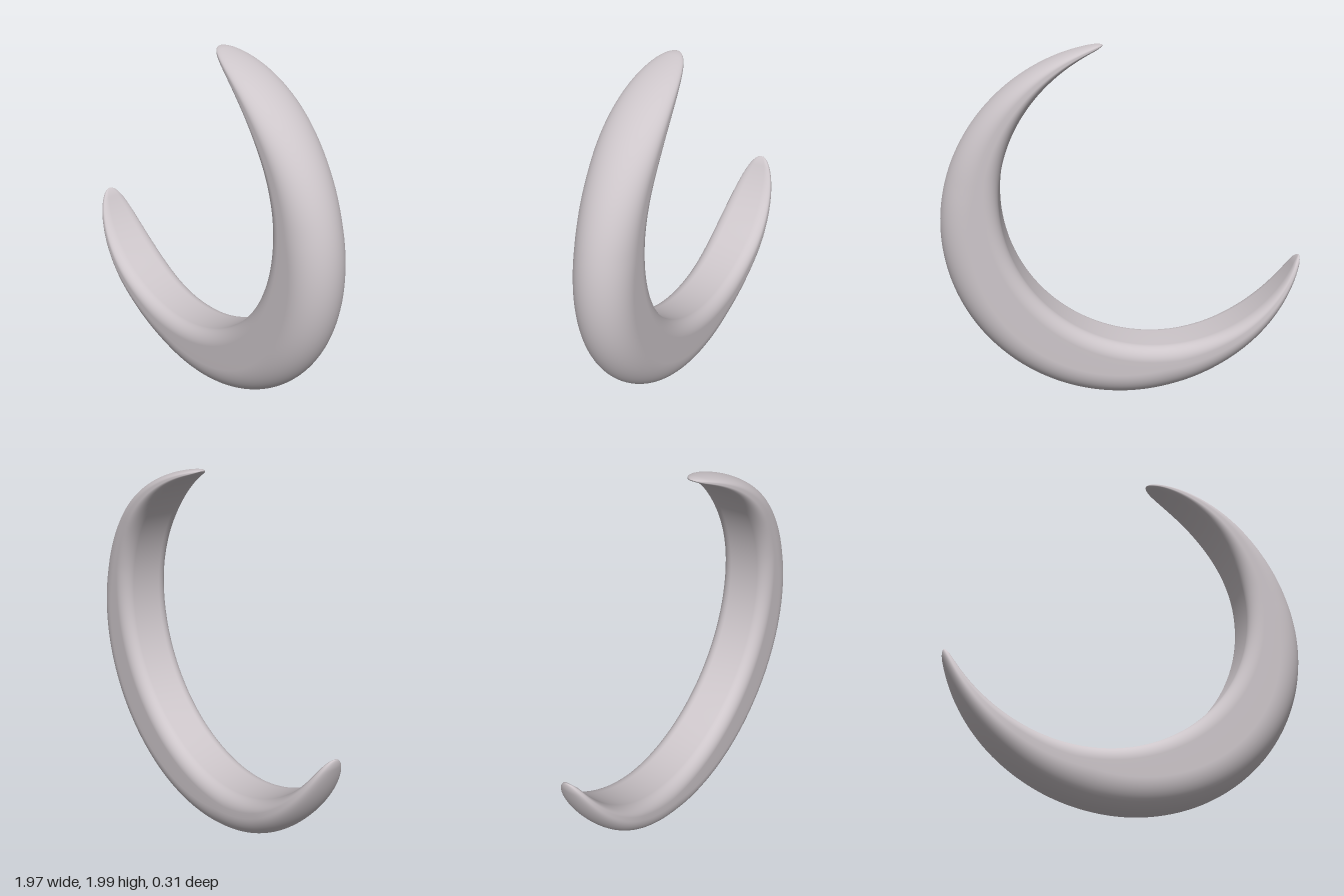
import * as THREE from 'three';

const rad = THREE.MathUtils.degToRad;

// Outer and inner circles that bound the crescent
const OUTER = { x: -0.012, y: 1.0, r: 1.0 };
const INNER = { x: -0.19, y: 1.17, r: 0.857 };
const AXIS = rad(-42.7), HALF = 125.6; // direction of the thickest part, sweep to each tip
const DEPTH = 0.157;

// Distance from the outer centre to the inner circle along an angle
function innerRadius(angle) {
  const dx = INNER.x - OUTER.x, dy = INNER.y - OUTER.y;
  const along = dx * Math.cos(angle) + dy * Math.sin(angle);
  const across = dy * Math.cos(angle) - dx * Math.sin(angle);
  return along + Math.sqrt(INNER.r ** 2 - across ** 2);
}

// Quarter-ellipse growth from 0 at a tip to 1 after the given span
const ease = (s, span) => (s >= span ? 1 : Math.sqrt(Math.max(0, 1 - (1 - s / span) ** 2)));

// Cross-section: round outer side, nearly flat inner wall with soft corners
function section(rIn, rOut, h) {
  const w = rOut - rIn, pts = [];
  const bulge = Math.min(0.55 * w, 0.16), c = Math.min(0.3 * w, 0.08), cz = 0.45 * h;
  for (let i = 0; i <= 28; i++) {
    const a = -Math.PI / 2 + (Math.PI * i) / 28;
    pts.push([rOut - bulge + bulge * Math.cos(a), h * Math.sin(a)]);
  }
  const corner = [];
  for (let i = 0; i <= 9; i++) {
    const a = (Math.PI / 2) * (i / 9);
    corner.push([rIn + c - c * Math.sin(a), h - cz + cz * Math.cos(a)]);
  }
  pts.push(...corner, [rIn, 0]);
  pts.push(...corner.reverse().map(([u, z]) => [u, -z]));
  return pts;
}

// Loft the cross-sections around the arc, with rings packed towards the tips
function crescentGeometry() {
  const rings = 180, pos = [], index = [];
  let n = 0;
  for (let i = 0; i <= rings; i++) {
    const phi = -HALF * Math.cos((Math.PI * i) / rings);
    const s = HALF - Math.abs(phi);
    const angle = AXIS + rad(phi);
    const r0 = innerRadius(angle), mid = (r0 + OUTER.r) / 2;
    const half = ((OUTER.r - r0) / 2) * ease(s, 3);
    const pts = section(mid - half, mid + half, DEPTH * ease(s, 38));
    n = pts.length;
    for (const [u, z] of pts) {
      pos.push(OUTER.x + u * Math.cos(angle), OUTER.y + u * Math.sin(angle), z);
    }
  }
  for (let i = 0; i < rings; i++) {
    for (let j = 0; j < n; j++) {
      const a = i * n + j, b = i * n + ((j + 1) % n);
      index.push(a, a + n, b, b, a + n, b + n);
    }
  }
  const geo = new THREE.BufferGeometry();
  geo.setAttribute('position', new THREE.Float32BufferAttribute(pos, 3));
  geo.setIndex(index);
  geo.computeVertexNormals();
  return geo;
}

export function createModel() {
  const group = new THREE.Group();
  group.name = 'crescentMoon';
  const material = new THREE.MeshStandardMaterial({ color: 0xcdc6ca });
  material.name = 'pale grey';
  const crescent = new THREE.Mesh(crescentGeometry(), material);
  crescent.name = 'crescent';
  group.add(crescent);
  return group;
}
